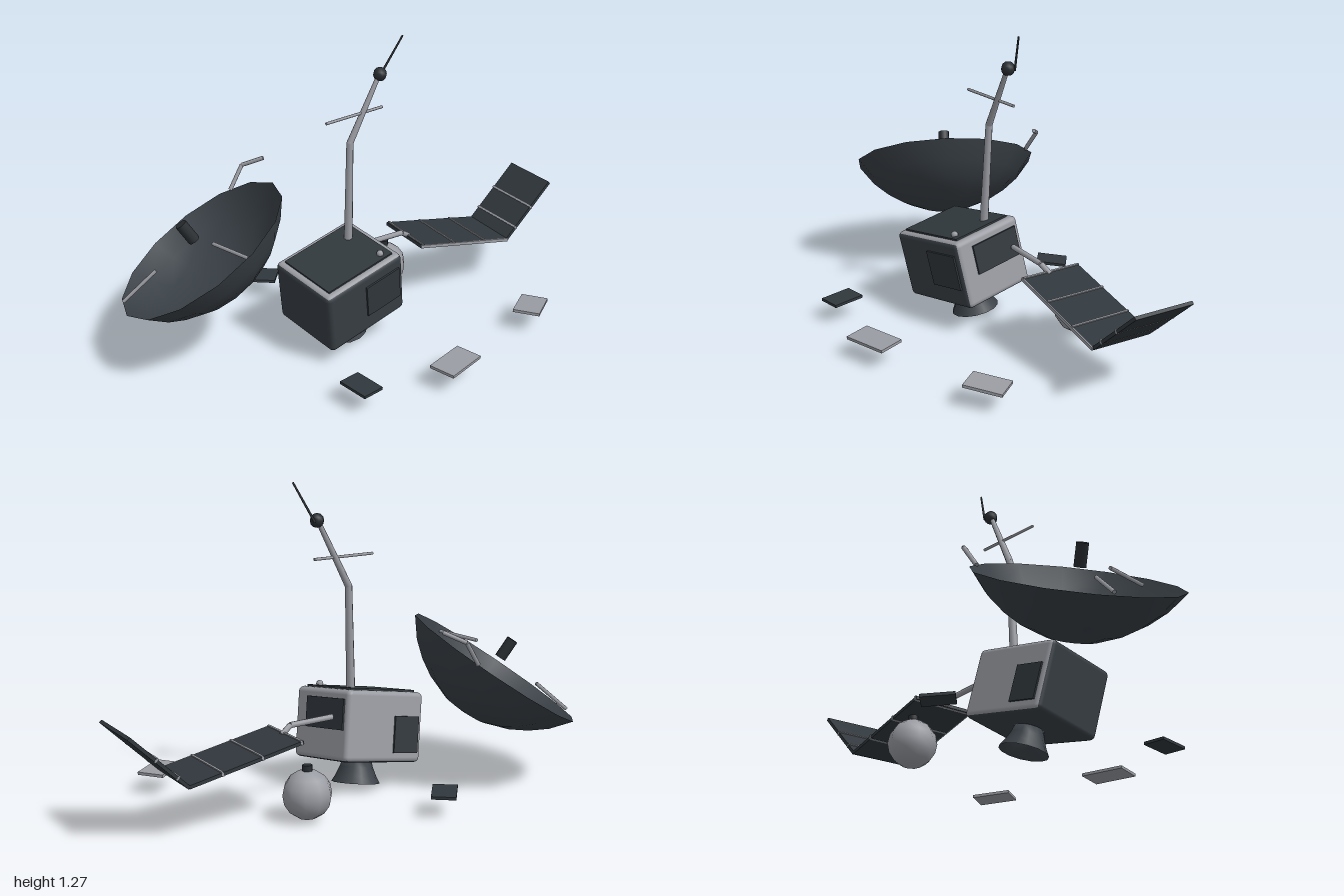
import * as THREE from 'three';
import { RoundedBoxGeometry } from 'three/addons/geometries/RoundedBoxGeometry.js';

const V = (x, y, z) => new THREE.Vector3(x, y, z);

export function createModel() {
  const root = new THREE.Group();
  root.name = 'brokenSatellite';

  const mat = (name, color, extra = {}) => {
    const m = new THREE.MeshStandardMaterial({ color, ...extra });
    m.name = name;
    return m;
  };
  const dark = mat('darkMetal', 0x394046, { side: THREE.DoubleSide });
  const panelDark = mat('panelDark', 0x31383d);
  const black = mat('blackMetal', 0x2a2e32);
  const grey = mat('lightGrey', 0x9a9ca3);

  const add = (parent, name, geo, material, pos = [0, 0, 0]) => {
    const m = new THREE.Mesh(geo, material);
    m.name = name;
    m.position.set(...pos);
    parent.add(m);
    return m;
  };
  // Cylinder between two points
  const rod = (name, a, b, r1, r2 = r1, material = grey) => {
    const d = b.clone().sub(a);
    const m = add(root, name, new THREE.CylinderGeometry(r2, r1, d.length(), 8), material);
    m.position.copy(a).add(b).multiplyScalar(0.5);
    m.quaternion.setFromUnitVectors(V(0, 1, 0), d.normalize());
    return m;
  };
  const rods = (name, points, r, r2 = r) => {
    for (let i = 0; i < points.length - 1; i++) rod(name, points[i], points[i + 1], r, r2);
  };

  // Tilted body; its local axes point right, up and front
  const body = new THREE.Group();
  body.name = 'body';
  const up = V(-0.11, 0.975, 0.19).normalize();
  const front = V(0.9, 0.18, -0.4).cross(up).normalize();
  const right = up.clone().cross(front);
  body.quaternion.setFromRotationMatrix(new THREE.Matrix4().makeBasis(right, up, front));
  body.position.set(-0.1, 0.255, -0.01);
  root.add(body);
  const W = 0.405, H = 0.29, D = 0.335;
  add(body, 'bodyShell', new RoundedBoxGeometry(W, H, D, 2, 0.022),
    [grey, dark, grey, dark, dark, grey]);
  add(body, 'topPlate', new THREE.BoxGeometry(W - 0.06, 0.009, D - 0.06), panelDark, [0, H / 2 + 0.003, 0]);
  add(body, 'frontHatch', new THREE.BoxGeometry(0.18, 0.15, 0.009), panelDark, [0.085, 0.015, D / 2 + 0.003]);
  add(body, 'backHatch', new THREE.BoxGeometry(0.13, 0.15, 0.009), panelDark, [-0.11, -0.03, -D / 2 - 0.003]);
  add(body, 'sideHatch', new THREE.BoxGeometry(0.009, 0.125, 0.23), panelDark, [W / 2 + 0.003, 0.045, -0.025]);
  add(body, 'topKnob', new THREE.SphereGeometry(0.015, 8, 6), grey, [0.13, H / 2 + 0.012, 0.11]);

  // Engine nozzle under the body
  const nozzle = [[0.001, 0], [0.058, 0], [0.068, -0.035], [0.083, -0.07], [0.1, -0.1]]
    .map(([x, y]) => new THREE.Vector2(x, y));
  add(body, 'engineNozzle', new THREE.LatheGeometry(nozzle.reverse(), 14), dark, [0, -H / 2 + 0.005, 0]);

  // Dish: shallow bowl, open end along its axis
  const dish = new THREE.Group();
  dish.name = 'dish';
  dish.position.set(-0.665, 0.48, -0.08);
  dish.quaternion.setFromUnitVectors(V(0, 1, 0), V(-0.54, 0.83, -0.1).normalize());
  root.add(dish);
  const bowl = [[0.001, -0.23], [0.1, -0.217], [0.2, -0.178], [0.27, -0.135], [0.335, -0.08], [0.398, 0]]
    .map(([x, y]) => new THREE.Vector2(x, y));
  add(dish, 'dishBowl', new THREE.LatheGeometry(bowl, 14), dark);
  add(dish, 'dishFeed', new THREE.CylinderGeometry(0.025, 0.025, 0.09, 8), black, [0, 0.09, 0]);

  // Broken feed struts on the dish
  rod('dishStrut', V(-0.99, 0.28, -0.095), V(-0.85, 0.4, -0.095), 0.008);
  rod('dishStrut', V(-0.54, 0.575, 0.24), V(-0.64, 0.565, 0.06), 0.008);
  rods('bentDishStrut', [V(-0.47, 0.57, -0.4), V(-0.41, 0.665, -0.43), V(-0.325, 0.703, -0.39)], 0.009);

  // Bent mast with crossbar, ball and whip
  const bend = V(-0.03, 0.85, -0.1), tip = V(0.1, 1.11, -0.133);
  rod('mastLower', V(-0.045, 0.38, -0.083), bend, 0.019, 0.015);
  rod('mastUpper', bend, tip, 0.015, 0.01);
  add(root, 'mastJoint', new THREE.SphereGeometry(0.015, 8, 6), grey, bend.toArray());
  rod('mastCrossbar', V(-0.145, 0.97, -0.045), V(0.125, 0.97, -0.155), 0.006);
  add(root, 'mastBall', new THREE.SphereGeometry(0.029, 8, 6), black, [0.108, 1.12, -0.135]);
  rod('whipAntenna', V(0.122, 1.115, -0.158), V(0.206, 1.27, -0.145), 0.005, 0.004, black);

  // Solar arm and its two folded panels
  rods('solarArm', [V(0.06, 0.34, -0.18), V(0.245, 0.335, -0.24), V(0.285, 0.305, -0.265)], 0.012);
  const across = V(0.07, 0, 0.26).normalize();
  const solar = (name, a, b, ribs, rail) => {
    const d = b.clone().sub(a), len = d.length();
    d.normalize();
    const g = new THREE.Group();
    g.name = name;
    const n = across.clone().cross(d).normalize();
    g.quaternion.setFromRotationMatrix(new THREE.Matrix4().makeBasis(d, n, d.clone().cross(n)));
    g.position.copy(a).add(b).multiplyScalar(0.5);
    root.add(g);
    add(g, 'solarCells', new THREE.BoxGeometry(len, 0.014, 0.265), panelDark);
    for (const t of ribs) add(g, 'panelRib', new THREE.BoxGeometry(0.008, 0.02, 0.267), grey, [(t - 0.5) * len, 0.002, 0]);
    if (rail) add(g, 'panelRail', new THREE.BoxGeometry(len, 0.014, 0.006), grey, [0, 0, 0.134]);
  };
  const fold = V(0.725, 0.207, -0.4);
  solar('innerSolarPanel', V(0.265, 0.307, -0.27), fold, [0.02, 0.37, 0.72], true);
  solar('outerSolarPanel', fold, V(0.95, 0.428, -0.4675), [0.2, 0.56], false);

  // Loose round tank with a cap
  add(root, 'tank', new THREE.SphereGeometry(0.098, 10, 8), grey, [0.22, 0.105, -0.41]);
  add(root, 'tankCap', new THREE.CylinderGeometry(0.02, 0.02, 0.03, 8), black, [0.22, 0.207, -0.41]);

  // Loose plates: x, z, width, depth, yaw, tilt, material
  for (const [x, z, w, d, yaw, tilt, m] of [
    [-0.31, -0.48, 0.098, 0.13, -0.39, -0.08, panelDark],
    [-0.17, 0.5, 0.096, 0.14, 0.46, 0.03, panelDark],
    [0.71, 0.12, 0.115, 0.16, -0.65, -0.06, grey],
    [0.24, 0.45, 0.19, 0.115, 0.6, 0.04, grey],
  ]) {
    const plate = add(root, 'loosePlate', new THREE.BoxGeometry(w, 0.012, d), m, [x, 0.09, z]);
    plate.rotation.set(tilt, yaw, 0, 'YXZ');
  }
  return root;
}
